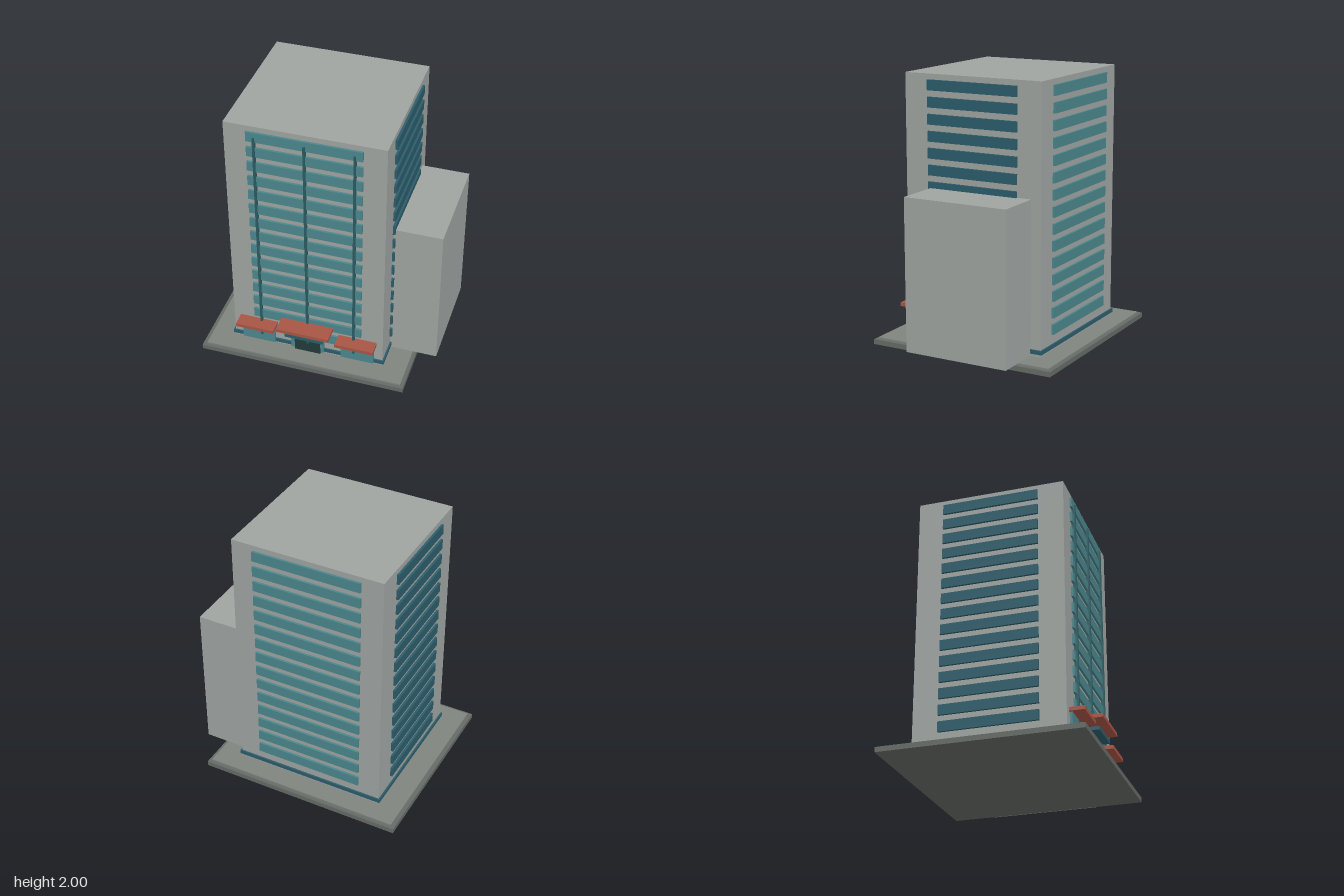
import * as THREE from 'three';

const material = (color) => new THREE.MeshStandardMaterial({ color, flatShading: true });

export function createModel() {
  const model = new THREE.Group();
  model.name = 'officeTower';

  const concrete = material(0x9fa4a1);
  const paving = material(0x7f847f);
  const plinthStone = material(0x666b66);
  const teal = material(0x4a868c);
  const blueGlass = material(0x2c5d6b);
  const bar = material(0x2a5b62);
  const red = material(0xa85545);
  const dark = material(0x213a38);

  // Box given by its extents along each axis
  function box(name, [x0, x1], [y0, y1], [z0, z1], mat, parent = model) {
    const mesh = new THREE.Mesh(new THREE.BoxGeometry(x1 - x0, y1 - y0, z1 - z0), mat);
    mesh.position.set((x0 + x1) / 2, (y0 + y1) / 2, (z0 + z1) / 2);
    mesh.name = name;
    parent.add(mesh);
    return mesh;
  }
  const around = (c, width) => [c - width / 2, c + width / 2];

  const cx = -0.08; // centre line of the tower

  // Stepped ground slab
  box('plinth', [-0.865, 0.705], [0, 0.037], [-0.73, 0.73], plinthStone);
  box('pavement', [-0.835, 0.68], [0.037, 0.05], [-0.705, 0.705], paving);

  // Main volumes
  box('tower', around(cx, 1.16), [0.05, 2], [-0.55, 0.55], concrete);
  box('sideAnnex', [0.5, 0.86], [0.05, 1.18], [-0.47, 0.34], concrete);
  box('baseBand', around(cx, 1.184), [0.07, 0.1], [-0.562, 0.562], blueGlass);

  // Window strips on all four sides, one set per floor
  const windows = new THREE.Group();
  windows.name = 'windowStrips';
  model.add(windows);
  for (let i = 0; i < 15; i++) {
    const y = around(0.21 + i * 0.1222, 0.076);
    for (const s of [-1, 1]) {
      const name = s > 0 ? 'Front' : 'Back';
      const mesh = box('window' + name, around(cx, 0.83), y, [0.54, 0.567], teal, windows);
      mesh.position.z *= s;
      const x = cx + s * 0.585;
      box(s > 0 ? 'windowLeft' : 'windowRight', around(x, 0.024), y, [-0.36, 0.36], blueGlass, windows);
    }
  }

  // Vertical bars up the front
  for (const x of [-0.437, cx + 0.003, 0.28]) {
    box('facadeBar', around(x, 0.016), [0.13, 1.922], [0.55, 0.578], bar);
  }

  // Three entrances, each with a glazed panel and a canopy
  [-0.463, cx, 0.307].forEach((x, i) => {
    box('entrancePanel', around(x, 0.255), [0.065, 0.24], [0.54, 0.57], teal);
    box('entranceCanopy', around(x, 0.293), [0.236, 0.263], [0.545, 0.66], i === 1 ? blueGlass : red);
  });

  // Main door below the large canopy
  box('mainDoor', around(cx + 0.002, 0.2), [0.05, 0.306], [0.54, 0.574], dark);
  box('mainCanopy', around(cx + 0.003, 0.4), [0.306, 0.333], [0.545, 0.7], red);

  return model;
}
